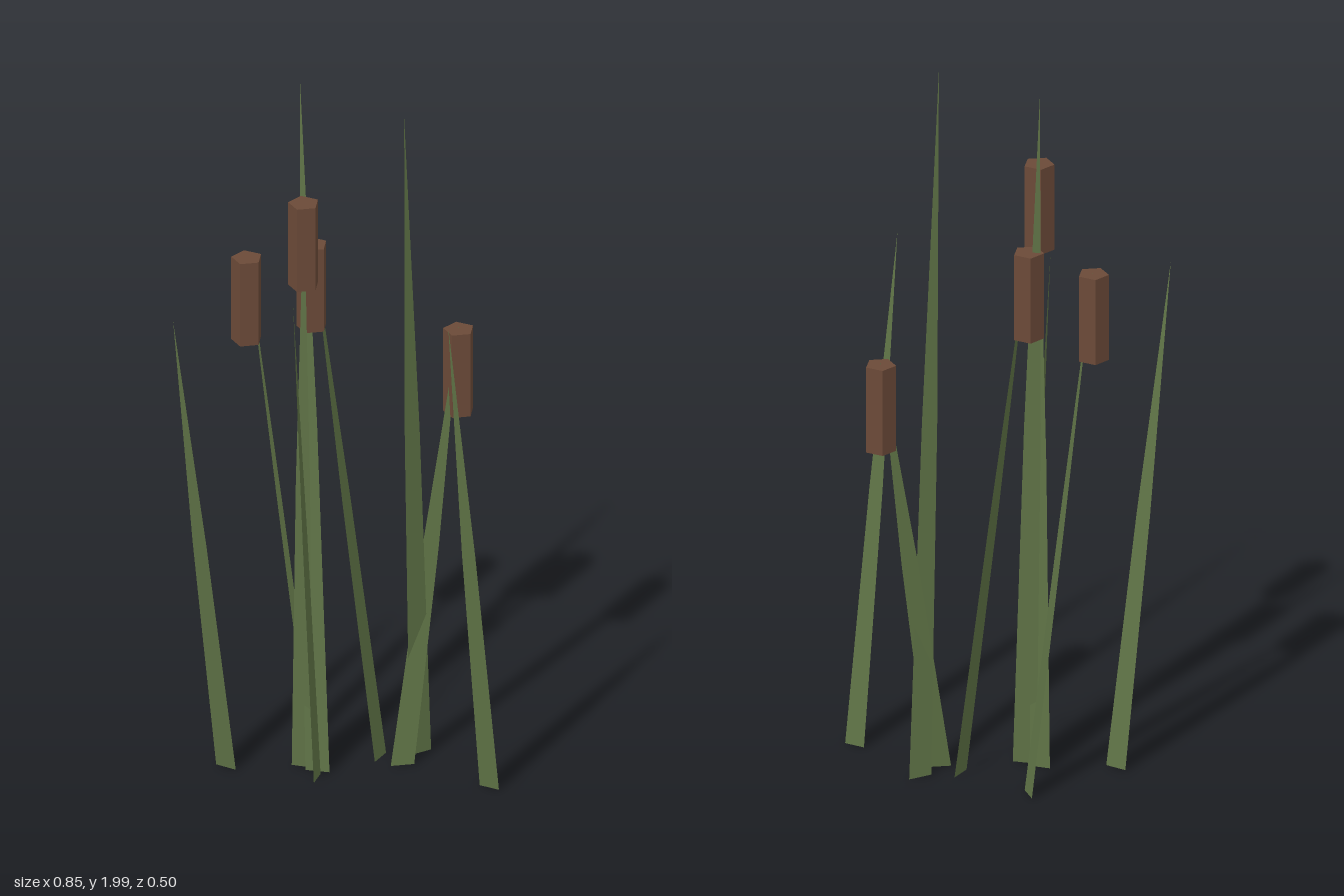
import * as THREE from 'three';

export function createModel() {
  const model = new THREE.Group();
  const leafGreen = new THREE.MeshStandardMaterial({ color: 0x5f7346, side: THREE.DoubleSide, flatShading: true });
  leafGreen.name = 'leafGreen';
  const headBrown = new THREE.MeshStandardMaterial({ color: 0x6b4a38, flatShading: true });
  headBrown.name = 'headBrown';

  // Flat blade: a base edge, a slightly full middle and a pointed tip
  function addBlade(name, [ax, az], [bx, bz], [tx, ty, tz]) {
    const cx = (ax + bx) / 2, cz = (az + bz) / 2;
    const mx = (cx + tx) / 2, mz = (cz + tz) / 2;
    const wx = (bx - ax) * 0.35, wz = (bz - az) * 0.35;
    const geometry = new THREE.BufferGeometry();
    geometry.setAttribute('position', new THREE.Float32BufferAttribute([
      ax, 0, az, bx, 0, bz,
      mx - wx, ty / 2, mz - wz, mx + wx, ty / 2, mz + wz,
      tx, ty, tz,
    ], 3));
    geometry.setIndex([0, 1, 3, 0, 3, 2, 2, 3, 4]);
    geometry.computeVertexNormals();
    const mesh = new THREE.Mesh(geometry, leafGreen);
    mesh.name = name;
    model.add(mesh);
  }

  // Free leaves
  addBlade('leafLeft', [-0.285, -0.105], [-0.24, -0.065], [-0.425, 1.4, 0.025]);
  addBlade('leafFront', [0.375, 0.14], [0.42, 0.175], [0.27, 1.43, 0.25]);
  addBlade('leafTallRight', [0.225, -0.06], [0.287, -0.083], [0.185, 1.97, 0.075]);
  addBlade('leafTallCentre', [-0.06, -0.03], [0, -0.005], [-0.05, 1.99, -0.16]);
  addBlade('leafCentre', [-0.052, 0.047], [-0.025, 0], [-0.108, 1.43, 0.049]);

  // Stems, each with a five-sided seed head at its tip
  const stems = [
    [[-0.015, -0.252], [-0.004, -0.195], [-0.19, 1.475, -0.17]],
    [[0.167, -0.087], [0.128, -0.04], [-0.025, 1.525, -0.119]],
    [[0.165, -0.01], [0.228, -0.01], [0.37, 1.23, -0.127]],
    [[-0.09, -0.065], [-0.04, -0.04], [-0.072, 1.72, 0.013]],
  ];
  const headGeometry = new THREE.CylinderGeometry(0.042, 0.042, 0.245, 5).rotateY(Math.PI);
  stems.forEach(([a, b, tip], i) => {
    addBlade(`stem${i + 1}`, a, b, tip);
    const head = new THREE.Mesh(headGeometry, headBrown);
    head.name = `seedHead${i + 1}`;
    head.position.set(tip[0], tip[1] - 0.1325, tip[2]);
    model.add(head);
  });

  return model;
}
